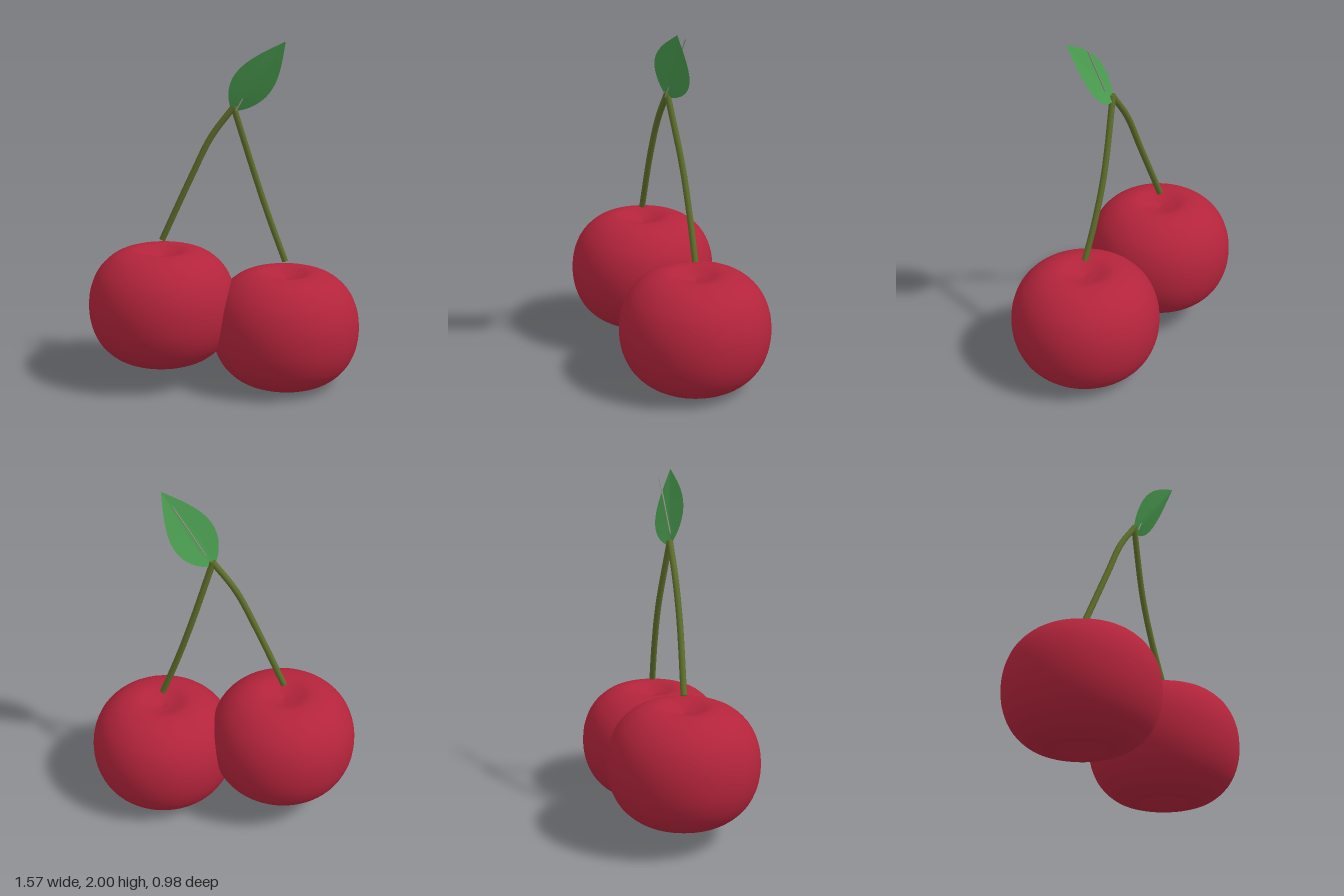
import * as THREE from 'three';

const V = (x, y, z) => new THREE.Vector3(x, y, z);

export function createModel() {
  const cherryRed = new THREE.MeshStandardMaterial({ color: 0xb3243b });
  const stemOlive = new THREE.MeshStandardMaterial({ color: 0x5d6e2a });
  const leafGreen = new THREE.MeshStandardMaterial({ color: 0x4a9c50, side: THREE.DoubleSide });
  const veinGrey = new THREE.MeshStandardMaterial({ color: 0x97978a });

  const model = new THREE.Group();
  model.name = 'cherryPair';
  function add(name, geometry, material, parent = model) {
    const mesh = new THREE.Mesh(geometry, material);
    mesh.name = name;
    parent.add(mesh);
    return mesh;
  }

  // Fruit: a squat round profile, dimpled at both poles
  const half = [[0.43, 0], [0.415, 0.115], [0.365, 0.22], [0.275, 0.3], [0.165, 0.33], [0.075, 0.305], [0, 0.285]];
  const outline = [
    ...half.slice(1).reverse().map(([r, y]) => new THREE.Vector2(r, -y)),
    ...half.map(([r, y]) => new THREE.Vector2(r, y)),
  ];
  const profile = new THREE.SplineCurve(outline).getPoints(48);
  profile.forEach((p) => { p.x = Math.max(p.x, 0); });
  const fruit = new THREE.LatheGeometry(profile, 64);
  add('rightCherry', fruit, cherryRed).position.set(-0.355, 0.455, 0.06);
  add('leftCherry', fruit, cherryRed).position.set(0.355, 0.333, -0.06);

  // Stems: curved tubes that meet at the top, with closed ends
  function addStem(name, points) {
    const group = new THREE.Group();
    group.name = name;
    model.add(group);
    const curve = new THREE.CatmullRomCurve3(points);
    add(name + 'Tube', new THREE.TubeGeometry(curve, 28, 0.018, 12), stemOlive, group);
    for (const t of [0, 1]) {
      const cap = add(name + 'End', new THREE.CircleGeometry(0.018, 12), stemOlive, group);
      const outward = curve.getTangent(t).multiplyScalar(t ? 1 : -1);
      cap.position.copy(curve.getPoint(t));
      cap.quaternion.setFromUnitVectors(V(0, 0, 1), outward);
    }
  }
  addStem('rightStem', [V(-0.352, 0.847, 0.06), V(-0.175, 1.23, 0.053), V(-0.065, 1.455, 0.038), V(0.063, 1.63, 0.02)]);
  addStem('leftStem', [V(0.35, 0.73, -0.06), V(0.257, 0.98, -0.053), V(0.175, 1.23, -0.036), V(0.06, 1.63, 0.02)]);

  // Leaf: a tilted blade, rounded at the base, pointed at the tip, gently creased
  const base = V(0.055, 1.605, 0.02);
  const tip = V(0.357, 1.998, 0.05);
  const across = V(0.65, -0.49, -0.59).normalize();
  const normal = across.clone().cross(tip.clone().sub(base)).normalize();
  const blade = new THREE.PlaneGeometry(1, 1, 8, 24);
  const pos = blade.attributes.position;
  for (let i = 0; i < pos.count; i++) {
    const side = pos.getX(i) * 2;
    const t = pos.getY(i) + 0.5;
    const width = Math.max(0, Math.sin(Math.PI * Math.pow(t, 0.75)));
    const p = base.clone().lerp(tip, t)
      .addScaledVector(across, 0.125 * width * side)
      .addScaledVector(normal, width * (0.014 * (1 - Math.abs(side)) - 0.008));
    pos.setXYZ(i, p.x, p.y, p.z);
  }
  blade.computeVertexNormals();
  add('leaf', blade, leafGreen);

  // Midrib: a thin straight rod that crosses the blade near its base
  const rib = new THREE.LineCurve3(V(0.078, 1.61, 0.036), V(0.27, 1.96, -0.022));
  add('leafVein', new THREE.TubeGeometry(rib, 1, 0.004, 6), veinGrey);

  return model;
}
